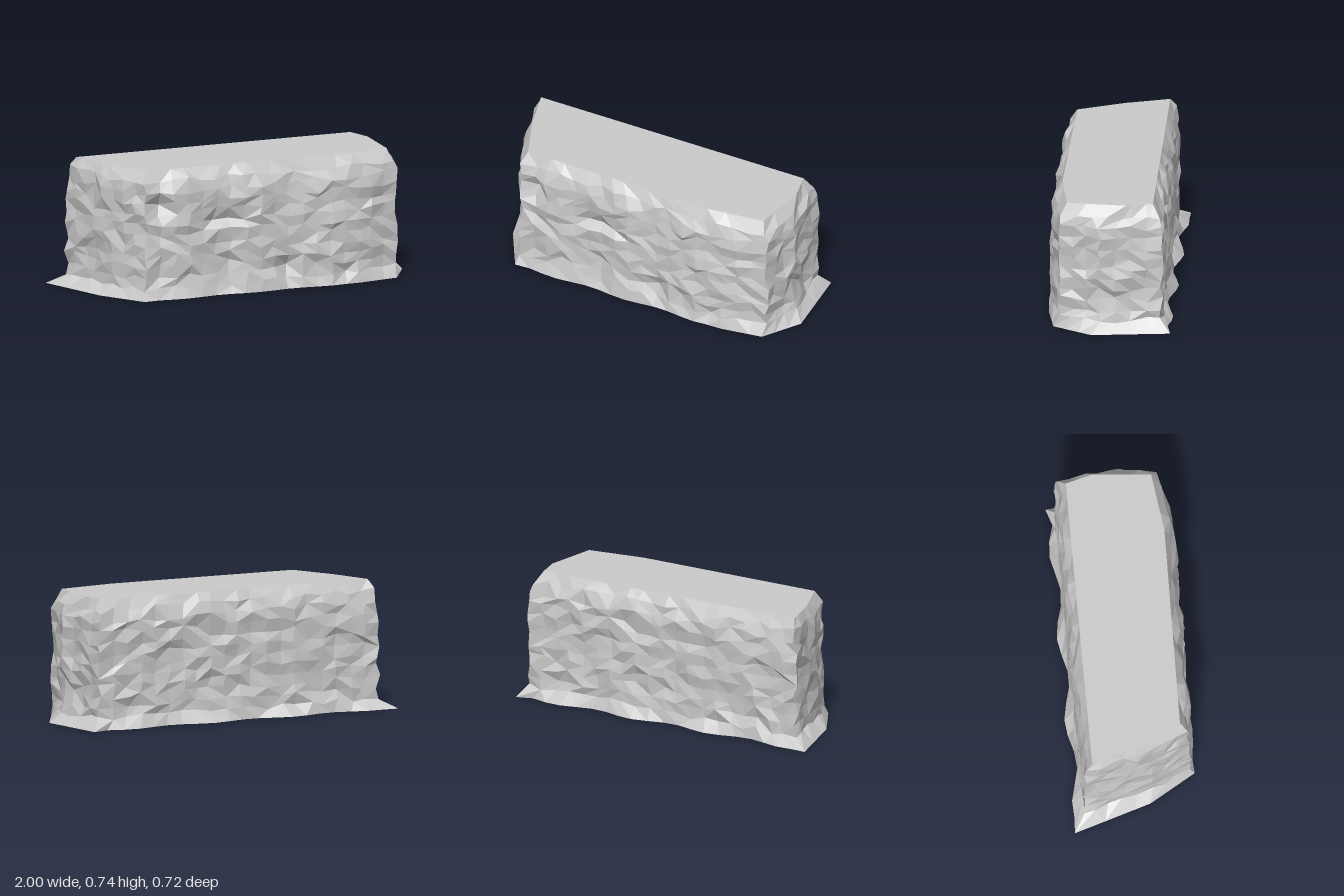
import * as THREE from 'three';

// Corner points [x, z] of three plans, counter-clockwise from the left front corner
const foot = [[-0.7, 0.345], [0.63, 0.35], [0.87, 0.31], [1, 0.09], [0.95, -0.355], [-1, -0.36], [-0.86, 0.08]];
const body = [[-0.68, 0.32], [0.63, 0.335], [0.88, 0.275], [0.93, 0.05], [0.89, -0.3], [-0.9, -0.3], [-0.79, 0.1]];
const top = [[-0.66, 0.265], [0.5, 0.28], [0.84, 0.235], [0.87, -0.1], [0.83, -0.25], [-0.86, -0.25], [-0.78, 0]];
const rows = 12, height = 0.735, step = 0.09;

// Cracks and hollows in the front face: centre x, y, half width, half height, depth
const dents = [
  [-0.18, 0.42, 0.15, 0.05, 0.05], [-0.6, 0.53, 0.09, 0.08, 0.07],
  [-0.17, 0.15, 0.07, 0.16, 0.025], [0.2, 0.13, 0.07, 0.14, 0.025], [0.57, 0.1, 0.07, 0.12, 0.02],
];

function seeded(seed) {
  return () => {
    seed = (seed * 16807) % 2147483647;
    return seed / 2147483647;
  };
}

// Outline at a height: flared foot, upright body, rounded shoulder
function ringAt(y) {
  const flare = Math.max(0, 1 - y / 0.08) ** 1.5;
  const shoulder = Math.max(0, (y - 0.62) / (height - 0.62)) ** 1.5;
  const corners = body.map((p, i) => new THREE.Vector2(...p)
    .lerp(new THREE.Vector2(...foot[i]), flare)
    .lerp(new THREE.Vector2(...top[i]), shoulder));
  return corners.flatMap((p, i) => {
    const n = (i + 1) % corners.length;
    const count = Math.round(new THREE.Vector2(...body[i]).distanceTo(new THREE.Vector2(...body[n])) / step);
    return Array.from({ length: count }, (_, s) => {
      const q = p.clone().lerp(corners[n], s / count);
      // Wavy edge along the foot, and gentle buttresses above it
      if (s && i === 4) q.y += flare * (0.022 - 0.024 * Math.cos((q.x + 0.33) * 12.3));
      if (s && i === 0) q.y += (1 - shoulder) * 0.01 * Math.cos(q.x * 14);
      return q;
    });
  });
}

// Rough sides: jitter each ring, leaving the top and ground outlines clean
function rockRings(random) {
  return Array.from({ length: rows + 1 }, (_, j) => {
    const y = height * j / rows;
    const rough = j === 0 || j === rows ? 0 : 1;
    const ring = ringAt(y);
    return ring.map((p, i) => {
      const next = ring[(i + 1) % ring.length], prev = ring[(i + ring.length - 1) % ring.length];
      const along = next.clone().sub(prev).normalize();
      const out = (random() - 0.5) * 0.028 * rough;
      const slide = (random() - 0.5) * 0.03 * rough;
      const lift = (random() - 0.5) * 0.035 * rough;
      const x = p.x + along.x * slide - along.y * out;
      let z = p.y + along.y * slide + along.x * out;
      if (p.y > 0.2) {
        for (const [dx, dy, w, h, depth] of dents) {
          z -= depth * rough * Math.max(0, 1 - Math.hypot((x - dx) / w, (y - dy) / h));
        }
      }
      return new THREE.Vector3(x, y + lift, z);
    });
  });
}

function meshFrom(name, triangles, material) {
  const geometry = new THREE.BufferGeometry().setFromPoints(triangles);
  geometry.computeVertexNormals();
  const mesh = new THREE.Mesh(geometry, material);
  mesh.name = name;
  return mesh;
}

export function createModel() {
  const group = new THREE.Group();
  group.name = 'rockBlock';
  const material = new THREE.MeshStandardMaterial({ color: 0xcccccc, flatShading: true });
  const random = seeded(4217);
  const rings = rockRings(random);
  const count = rings[0].length;

  // Faceted sides, with the diagonals turned irregularly
  const sides = [];
  for (let j = 0; j < rows; j++) {
    for (let i = 0; i < count; i++) {
      const n = (i + 1) % count;
      const a = rings[j][i], b = rings[j][n], c = rings[j + 1][n], d = rings[j + 1][i];
      if (random() < 0.5) sides.push(a, b, c, a, c, d);
      else sides.push(a, b, d, b, c, d);
    }
  }
  group.add(meshFrom('rockSides', sides, material));

  // Flat top and underside
  const cap = (ring, up) => ring.flatMap((p, i) => {
    const q = ring[(i + 1) % count], centre = new THREE.Vector3(0, p.y, 0);
    return up ? [centre, p, q] : [centre, q, p];
  });
  group.add(meshFrom('flatTop', cap(rings[rows], true), material));
  group.add(meshFrom('underside', cap(rings[0], false), material));
  return group;
}
